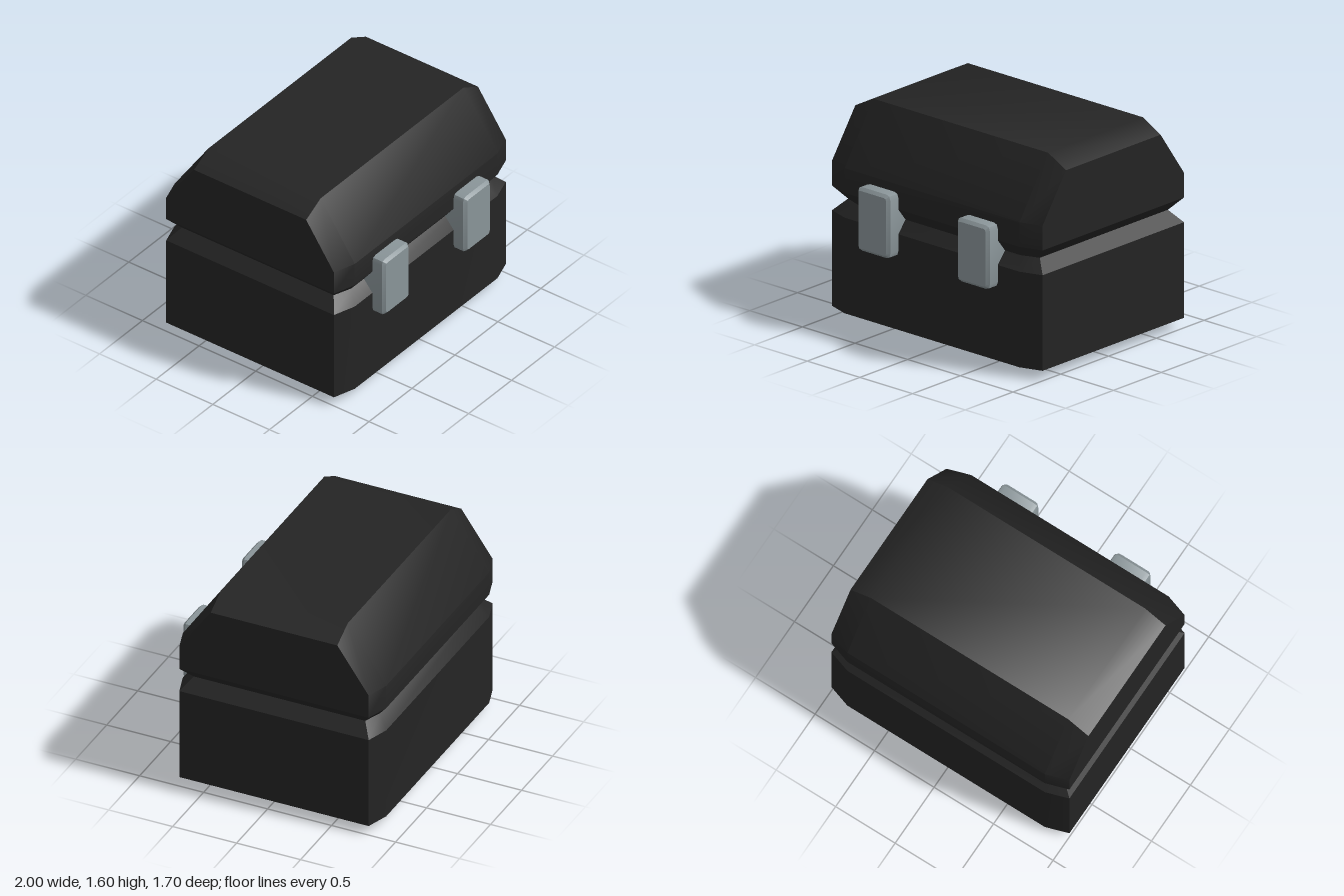
import * as THREE from 'three';
import { toCreasedNormals } from 'three/addons/utils/BufferGeometryUtils.js';

const CENTER_Z = -0.05;
const CREASE = 0.64;

// Each ring is an octagon: [xInner, yInner, zInner, xOuter, yOuter, zOuter]
function loft(rings, cap) {
  const positions = [], index = [];
  const quad = (a, b, c, d) => index.push(a, b, c, a, c, d);
  for (const [xi, yi, zi, xo, yo, zo] of rings) {
    const half = [[xi, yi, zi], [xo, yo, zo], [xo, yo, -zo], [xi, yi, -zi]];
    for (const [x, y, z] of half) positions.push(x, y, z + CENTER_Z);
    for (const [x, y, z] of half) positions.push(-x, y, -z + CENTER_Z);
  }
  for (let r = 0; r < rings.length - 1; r++) {
    for (let i = 0; i < 8; i++) {
      const j = (i + 1) % 8, lo = r * 8, hi = lo + 8;
      quad(lo + i, lo + j, hi + j, hi + i);
    }
  }
  // Middle panel plus the two sloping end panels
  const o = cap === 'top' ? (rings.length - 1) * 8 : 0;
  for (const q of [[0, 1, 2, 3], [7, 0, 3, 4], [6, 7, 4, 5]]) {
    const [a, b, c, d] = q.map((v) => v + o);
    if (cap === 'top') quad(a, b, c, d);
    else quad(d, c, b, a);
  }
  const geometry = new THREE.BufferGeometry();
  geometry.setAttribute('position', new THREE.Float32BufferAttribute(positions, 3));
  geometry.setIndex(index);
  return toCreasedNormals(geometry, CREASE);
}

// Latch plate with rounded corners and a bevelled front edge
function latchGeometry() {
  const bevel = 0.022, w = 0.1525 - bevel, h = 0.2375 - bevel, r = 0.02;
  const shape = new THREE.Shape();
  shape.moveTo(-w + r, -h);
  shape.lineTo(w - r, -h);
  shape.quadraticCurveTo(w, -h, w, -h + r);
  shape.lineTo(w, h - r);
  shape.quadraticCurveTo(w, h, w - r, h);
  shape.lineTo(-w + r, h);
  shape.quadraticCurveTo(-w, h, -w, h - r);
  shape.lineTo(-w, -h + r);
  shape.quadraticCurveTo(-w, -h, -w + r, -h);
  const geometry = new THREE.ExtrudeGeometry(shape, {
    depth: 0.2, bevelThickness: bevel, bevelSize: bevel, bevelSegments: 1, curveSegments: 2,
  });
  return toCreasedNormals(geometry, CREASE);
}

export function createModel() {
  const group = new THREE.Group();
  const black = new THREE.MeshStandardMaterial({ name: 'black shell', color: 0x242424 });
  const grey = new THREE.MeshStandardMaterial({ name: 'grey latch', color: 0x8a9599 });
  const add = (name, geometry, material) => {
    const mesh = new THREE.Mesh(geometry, material);
    mesh.name = name;
    group.add(mesh);
    return mesh;
  };

  // Both halves meet at the bottom of the groove
  const groove = [0.77, 0.88, 0.72, 0.91, 0.88, 0.67];
  const level = (y) => [0.83, y, 0.795, 1, y, 0.74];

  add('base', loft([
    [0.81, 0, 0.59, 0.83, 0, 0.57],
    level(0.075),
    level(0.79),
    groove,
  ], 'bottom'), black);

  add('lid', loft([
    groove,
    level(0.975),
    level(1.16),
    [0.83, 1.6, 0.495, 1, 1.51, 0.495],
  ], 'top'), black);

  // Latches bridge the groove on the front
  const latch = latchGeometry();
  for (const side of [-1, 1]) {
    const mesh = add(side > 0 ? 'leftLatch' : 'rightLatch', latch, grey);
    mesh.position.set(side * 0.4725, 0.8625, 0.628);
  }
  return group;
}
